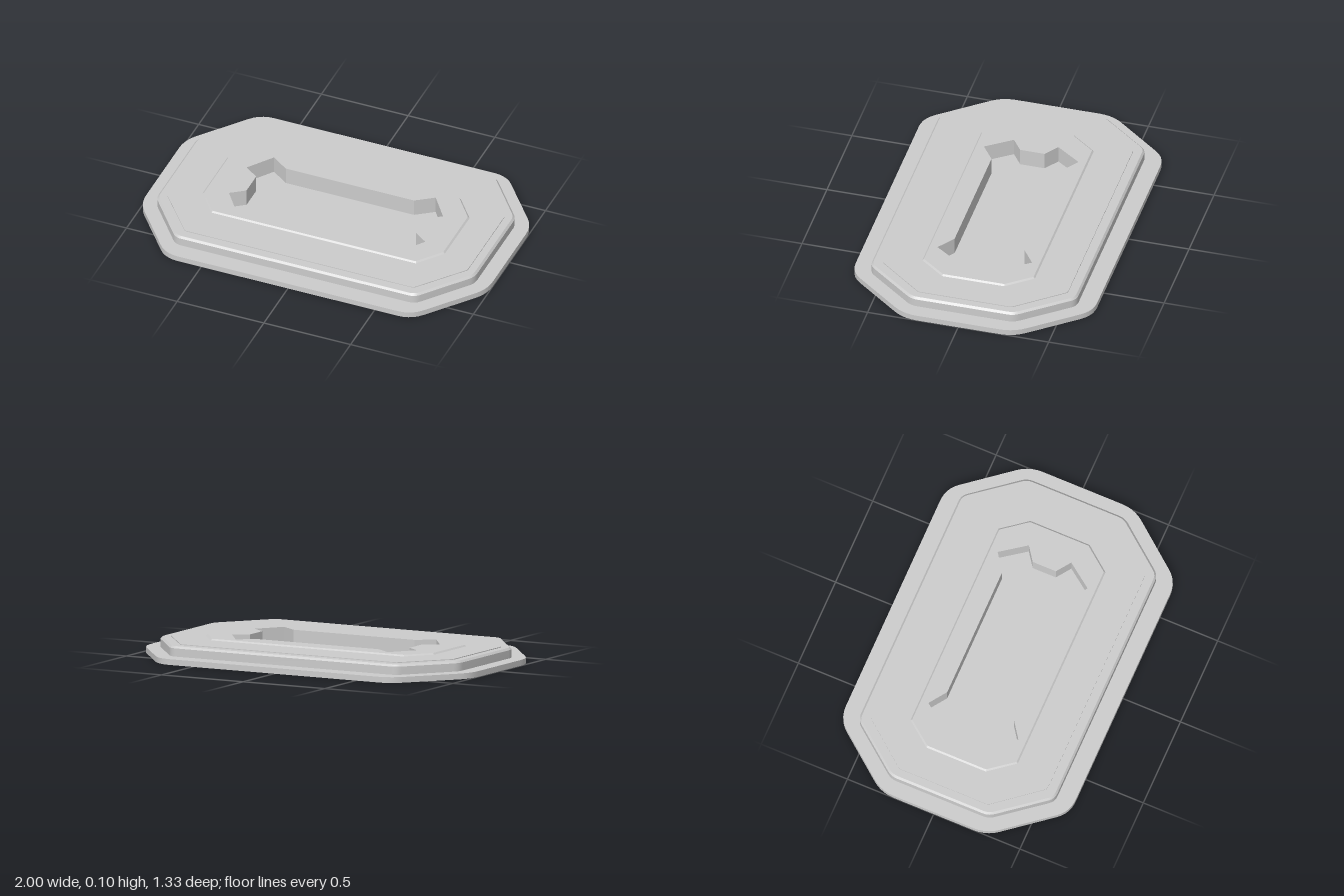
import * as THREE from 'three';
import { toCreasedNormals } from 'three/addons/utils/BufferGeometryUtils.js';

const material = new THREE.MeshStandardMaterial({ color: 0xcccccc, side: THREE.DoubleSide });
const STEPS = 5; // segments in each rounded corner

// Mirror one quadrant of points into a full counter-clockwise outline
function mirrorQuadrant(q) {
  const flip = (sx, sy) => q.map(([x, y]) => new THREE.Vector2(x * sx, y * sy));
  return [...flip(1, 1), ...flip(-1, 1).reverse(), ...flip(-1, -1), ...flip(1, -1).reverse()];
}

// Octagon with half sizes w, d, chamfer corners at cx and cz, and rounded corners
function octagon(w, d, cx, cz, round) {
  const corners = mirrorQuadrant([[w, cz], [cx, d]]);
  const n = corners.length;
  return corners.flatMap((c, i) => {
    const toward = (o) => o.clone().sub(c).setLength(round).add(c);
    const curve = new THREE.QuadraticBezierCurve(
      toward(corners[(i + n - 1) % n]), c, toward(corners[(i + 1) % n]));
    return curve.getPoints(STEPS);
  });
}

// Skin between successive [outline, height] sections
function skin(name, sections) {
  const pos = [];
  const put = ([outline, y], i) => {
    const p = outline[i % outline.length];
    pos.push(p.x * 10, y * 10, -p.y * 10);
  };
  for (let s = 0; s + 1 < sections.length; s++) {
    const a = sections[s], b = sections[s + 1];
    for (let i = 0; i < a[0].length; i++) {
      put(a, i); put(a, i + 1); put(b, i + 1);
      put(a, i); put(b, i + 1); put(b, i);
    }
  }
  const g = new THREE.BufferGeometry();
  g.setAttribute('position', new THREE.Float32BufferAttribute(pos, 3));
  // Creased at a larger scale so that small steps stay distinct
  const creased = toCreasedNormals(g, 0.45).scale(0.1, 0.1, 0.1);
  return named(name, creased);
}

// Horizontal face with an optional hole
function flat(name, outline, y, hole) {
  const shape = new THREE.Shape(outline);
  if (hole) shape.holes.push(new THREE.Path(hole));
  const g = new THREE.ShapeGeometry(shape);
  g.rotateX(-Math.PI / 2).translate(0, y, 0);
  return named(name, g);
}

function named(name, geometry) {
  const mesh = new THREE.Mesh(geometry, material);
  mesh.name = name;
  return mesh;
}

export function createModel() {
  const group = new THREE.Group();
  group.name = 'steppedTray';

  const rim = octagon(1, 0.667, 0.71, 0.305, 0.075);
  const wall = octagon(0.918, 0.57, 0.69, 0.283, 0.035);
  const wallTop = octagon(0.907, 0.56, 0.685, 0.279, 0.03);
  const ledge = octagon(0.866, 0.512, 0.66, 0.257, 0.012);
  const plateBase = octagon(0.699, 0.311, 0.59, 0.172, 0.004);
  const plateTop = octagon(0.69, 0.303, 0.586, 0.169, 0.004);
  const slot = mirrorQuadrant([[0.488, 0.067], [0.566, 0.123], [0.466, 0.261], [0.37, 0.193]]);

  // Low outer flange, open underneath
  group.add(skin('flange', [[rim, 0], [rim, 0.031], [wall, 0.031]]));
  // Raised body with bevelled top edge
  group.add(skin('raisedBody', [[wall, 0.031], [wall, 0.075], [wallTop, 0.086], [ledge, 0.086]]));
  // Shallow deck step
  group.add(skin('deck', [[ledge, 0.086], [ledge, 0.09], [plateBase, 0.09]]));
  // Centre plate around the slot
  group.add(skin('plateBevel', [[plateBase, 0.09], [plateTop, 0.098]]));
  group.add(flat('centrePlate', plateTop, 0.098, slot));
  // Flared pocket
  group.add(skin('pocketWall', [[slot, 0.098], [slot, 0.003]]));
  group.add(flat('pocketFloor', slot, 0.003));
  return group;
}
